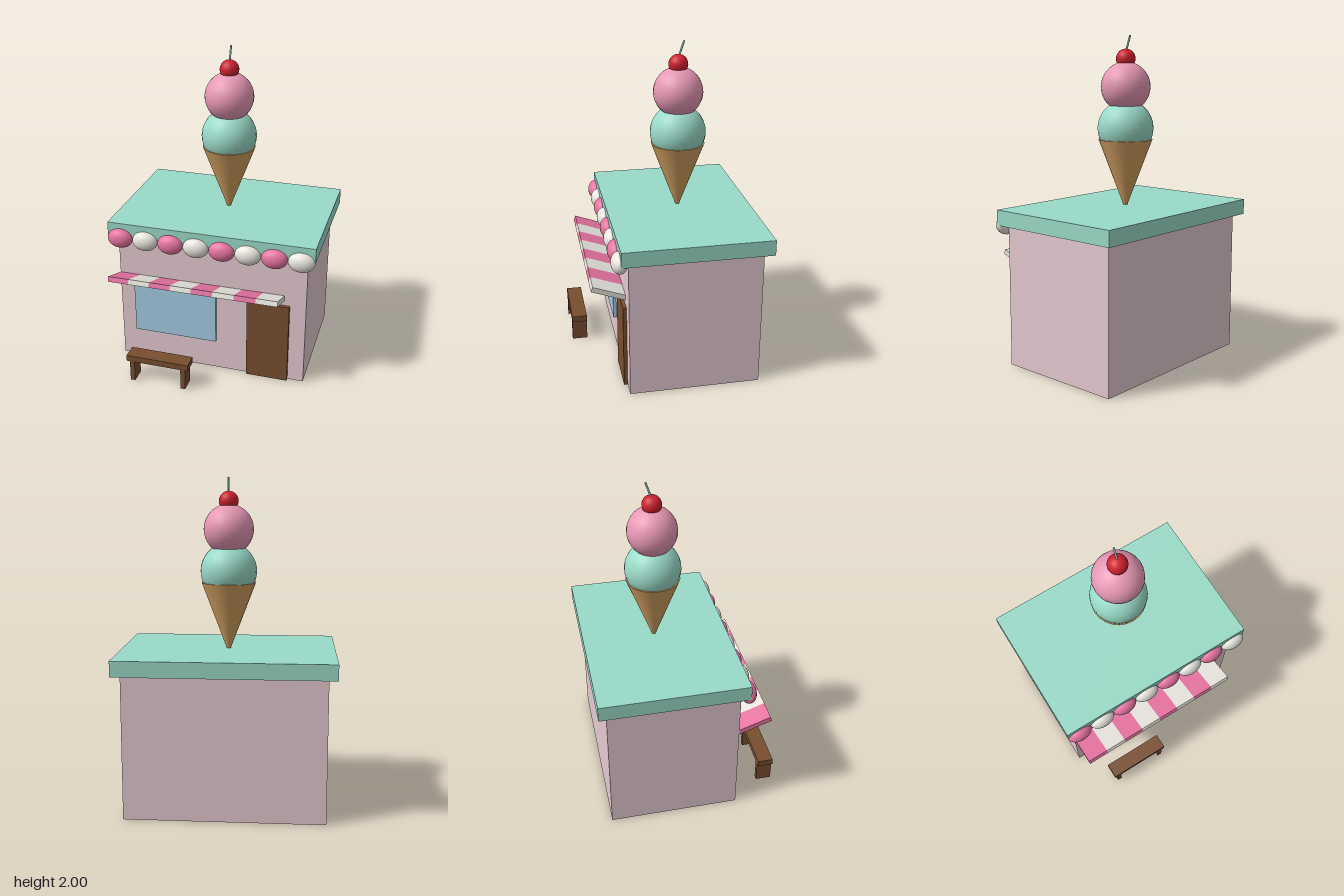
import * as THREE from 'three';

const paint = (name, color) => {
  const m = new THREE.MeshStandardMaterial({ color });
  m.name = name;
  return m;
};

export function createModel() {
  const wall = paint('wall pink', 0xe4c9d0);
  const mint = paint('mint', 0x9adac8);
  const pink = paint('candy pink', 0xf47bab);
  const cream = paint('cream white', 0xf4f2ea);
  const glass = paint('window blue', 0xa3cce2);
  const brown = paint('wood brown', 0x784e30);
  const berry = paint('strawberry pink', 0xf2a0be);
  const wafer = paint('wafer tan', 0xd2a062);
  const red = paint('cherry red', 0xd0202f);

  const shop = new THREE.Group();
  shop.name = 'iceCreamShop';

  const add = (parent, name, geometry, material, x, y, z) => {
    const mesh = new THREE.Mesh(geometry, material);
    mesh.name = name;
    mesh.position.set(x, y, z);
    parent.add(mesh);
    return mesh;
  };
  // Box given by its lower and upper limits
  const box = (parent, name, material, [x0, x1], [y0, y1], [z0, z1]) =>
    add(parent, name, new THREE.BoxGeometry(x1 - x0, y1 - y0, z1 - z0), material,
      (x0 + x1) / 2, (y0 + y1) / 2, (z0 + z1) / 2);
  const group = (name) => {
    const g = new THREE.Group();
    g.name = name;
    shop.add(g);
    return g;
  };

  // Building
  box(shop, 'walls', wall, [-0.6, 0.6], [0, 0.88], [-0.515, 0.285]);
  box(shop, 'roof', mint, [-0.65, 0.65], [0.875, 0.97], [-0.565, 0.332]);
  box(shop, 'door', brown, [0.235, 0.5], [0, 0.535], [0.28, 0.307]);
  box(shop, 'window', glass, [-0.503, 0.035], [0.205, 0.535], [0.28, 0.305]);

  // Row of flattened balls along the roof edge
  const trim = group('roofTrim');
  for (let i = 0; i < 8; i++) {
    const ball = add(trim, 'trimBall', new THREE.SphereGeometry(1, 24, 16),
      i % 2 ? cream : pink, -0.569 + i * 0.1625, 0.872, 0.332);
    ball.scale.set(0.081, 0.0625, 0.05);
  }

  // Striped awning, rising towards the street
  const awning = group('awning');
  awning.position.set(0, 0.617, 0.37);
  awning.rotation.x = -0.35;
  const stripe = 1.065 / 8;
  for (let i = 0; i < 8; i++) {
    add(awning, 'awningStripe', new THREE.BoxGeometry(stripe, 0.032, 0.24),
      i % 2 ? cream : pink, -0.6 + stripe * (i + 0.5), 0, 0);
  }

  // Bench
  const bench = group('bench');
  box(bench, 'benchSeat', brown, [-0.469, -0.067], [0.138, 0.178], [0.47, 0.567]);
  for (const x of [-0.433, -0.101]) {
    box(bench, 'benchLeg', brown, [x - 0.015, x + 0.015], [0, 0.138], [0.47, 0.567]);
  }

  // Giant ice cream on the roof
  const treat = group('iceCream');
  treat.position.z = -0.12;
  add(treat, 'cone', new THREE.CylinderGeometry(0.165, 0.001, 0.435, 24), wafer, 0, 1.157, 0);
  add(treat, 'mintScoop', new THREE.SphereGeometry(0.171, 24, 18), mint, 0, 1.442, 0);
  add(treat, 'pinkScoop', new THREE.SphereGeometry(0.151, 24, 18), berry, 0, 1.692, 0);
  add(treat, 'cherry', new THREE.SphereGeometry(0.059, 20, 14), red, 0, 1.86, 0);
  const stem = add(treat, 'cherryStem', new THREE.CylinderGeometry(0.006, 0.006, 0.1, 8), mint, 0, 1.951, -0.018);
  stem.rotation.x = -0.33;

  return shop;
}
